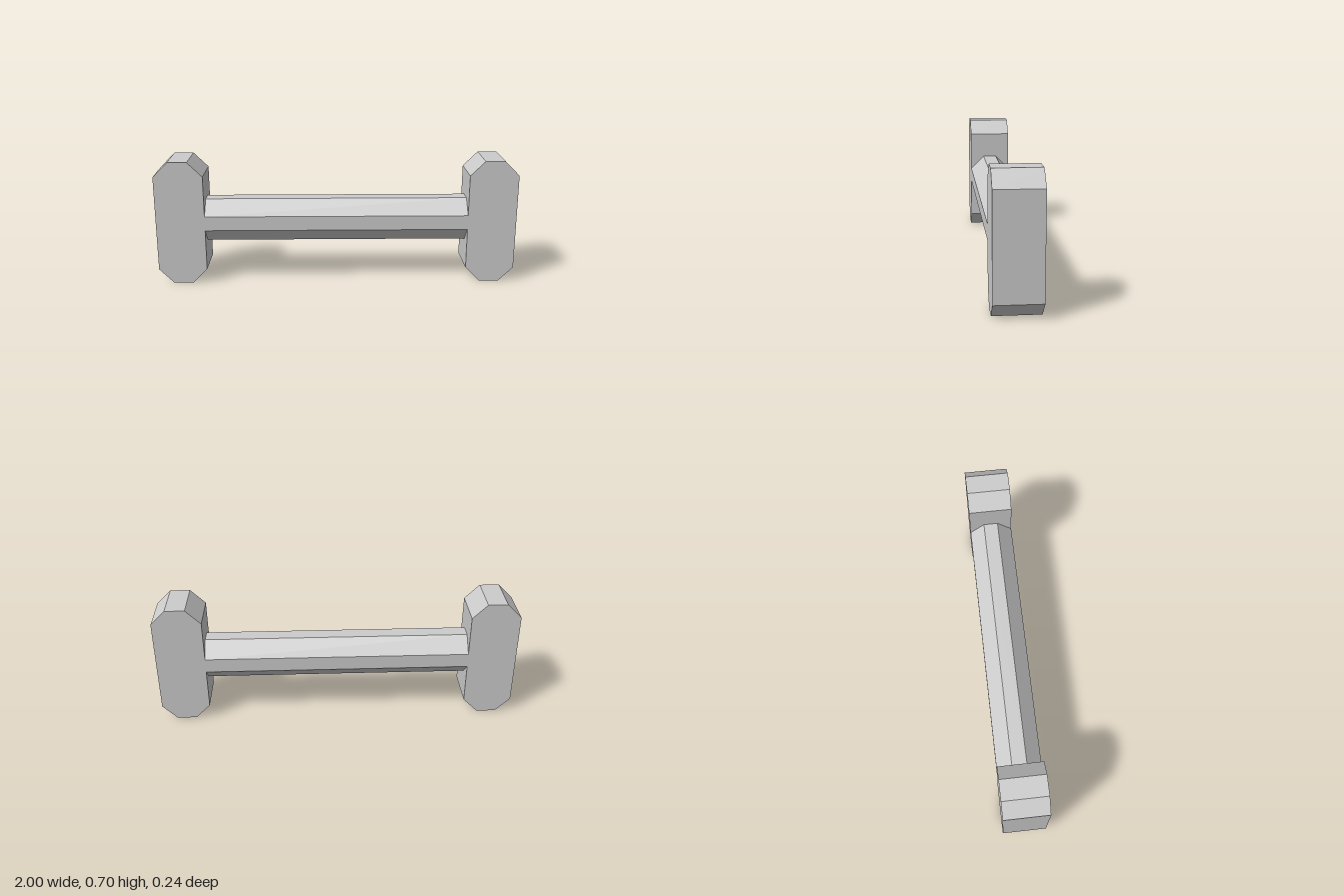
import * as THREE from 'three';

const DEPTH = 0.242;
const HEIGHT = 0.697;

// Prism with a chamfered rectangular section, centred on the origin, extruded along z
function chamferedPrism(width, height, cut, length) {
  const w = width / 2, h = height / 2;
  const corners = [
    [w - cut, -h], [w, -h + cut], [w, h - cut], [w - cut, h],
    [-w + cut, h], [-w, h - cut], [-w, -h + cut], [-w + cut, -h],
  ];
  const shape = new THREE.Shape(corners.map(([x, y]) => new THREE.Vector2(x, y)));
  const geometry = new THREE.ExtrudeGeometry(shape, { depth: length, bevelEnabled: false });
  return geometry.translate(0, 0, -length / 2);
}

export function createModel() {
  const model = new THREE.Group();
  model.name = 'barWithEndBlocks';
  const grey = new THREE.MeshStandardMaterial({ color: 0xcccccc, flatShading: true });
  grey.name = 'light grey';

  // Octagonal bar between the end blocks
  const bar = new THREE.Mesh(chamferedPrism(DEPTH, DEPTH, 0.081, 1.46), grey);
  bar.name = 'bar';
  bar.rotation.y = Math.PI / 2;
  bar.position.y = HEIGHT / 2;
  model.add(bar);

  // Upright chamfered blocks at both ends
  const blockGeometry = chamferedPrism(0.27, HEIGHT, 0.081, DEPTH);
  for (const [name, side] of [['leftEndBlock', 1], ['rightEndBlock', -1]]) {
    const block = new THREE.Mesh(blockGeometry, grey);
    block.name = name;
    block.position.set(side * 0.865, HEIGHT / 2, 0);
    model.add(block);
  }
  return model;
}
